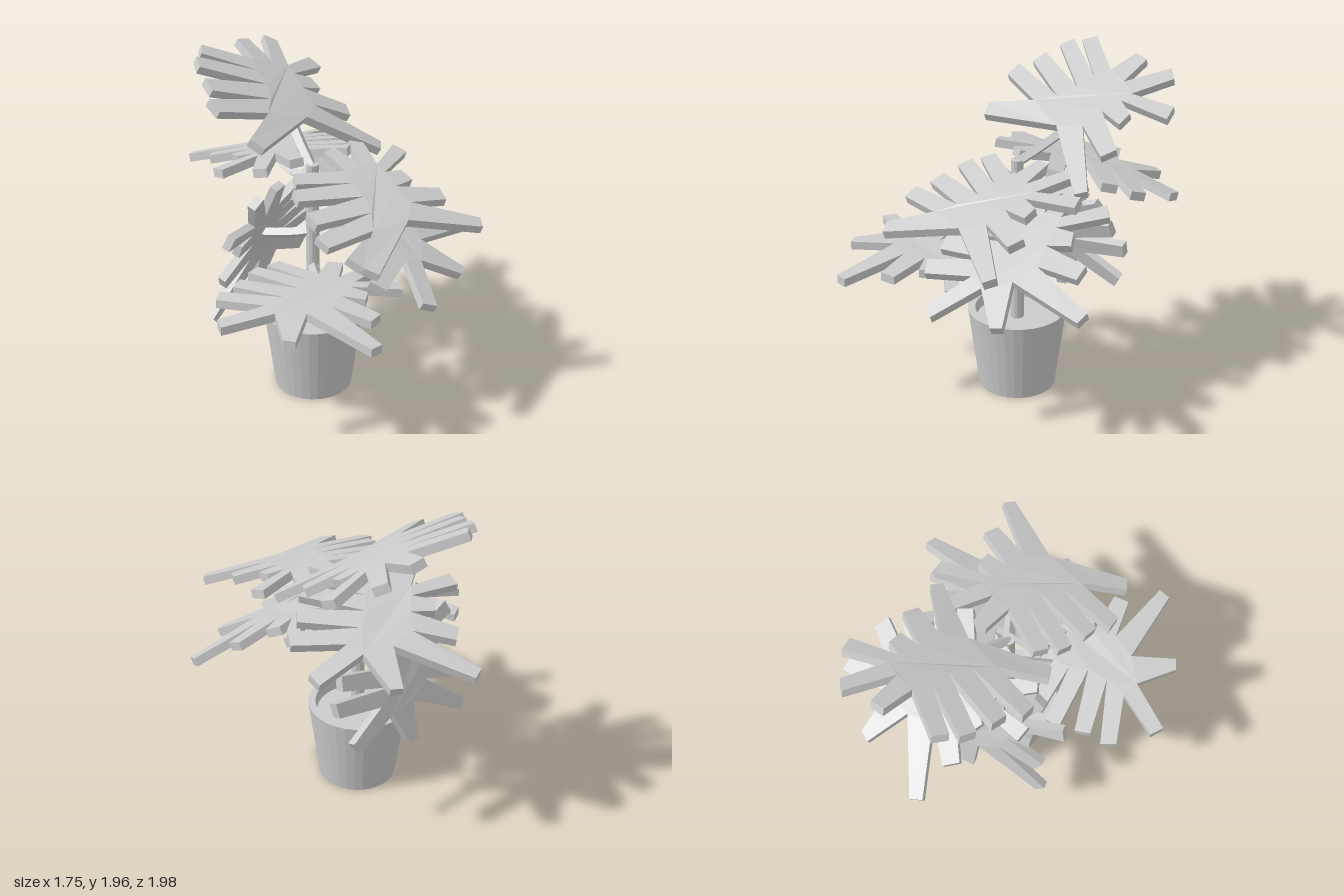
import * as THREE from 'three';

const mat = new THREE.MeshStandardMaterial({ color: 0xcccccc, flatShading: true, side: THREE.DoubleSide });
const STEM_X = -0.07, STEM_Z = -0.055;

function add(parent, name, geometry) {
  const mesh = new THREE.Mesh(geometry, mat);
  mesh.name = name;
  parent.add(mesh);
  return mesh;
}

// Lobes around the blade: [tip u, tip v, half width of blunt end, following notch u, notch v]
const LONG_LOBE = [0.5, 0.29, 0.036, 0.05, 0.22];
const END_LOBE = [0.09, 0.48, 0.034, -0.1, 0.3];
const SIDE_LOBES = [
  [-0.33, 0.49, 0.042, -0.19, 0.25], [-0.49, 0.25, 0.046, -0.13, 0.13],
  [-0.47, 0.09, 0.046, -0.11, 0.01], [-0.47, -0.09, 0.044, -0.12, -0.1],
  [-0.41, -0.21, 0.044, -0.11, -0.2], [-0.1, -0.39, 0.042, 0.01, -0.22],
  [0.11, -0.48, 0.04, 0.11, -0.22], [0.34, -0.34, 0.044, 0.12, -0.15],
  [0.24, -0.11, 0.044, 0.12, -0.03], [0.38, 0.06, 0.046, 0.14, 0.1],
];

// Thick deeply cut blade, lying flat and drooping gently away from its middle
function bladeGeometry(lobes) {
  const points = [];
  for (const [u, v, w, notchU, notchV] of lobes) {
    const tip = new THREE.Vector2(u, v);
    const side = new THREE.Vector2(-v * 0.7, u).setLength(w);
    points.push(tip.clone().sub(side), tip.clone().add(side), new THREE.Vector2(notchU, notchV));
  }
  const g = new THREE.ExtrudeGeometry(new THREE.Shape(points), { depth: 0.05, bevelEnabled: false });
  g.rotateX(Math.PI / 2);
  const p = g.attributes.position;
  for (let i = 0; i < p.count; i++) {
    const r2 = p.getX(i) ** 2 + p.getZ(i) ** 2;
    p.setY(i, p.getY(i) + 0.045 - 0.12 * r2);
  }
  g.computeVertexNormals();
  return g;
}

// Level leaf axes turned by an angle, then sheared to a slope along x and z
function slopedAxes(degrees, slopeX, slopeZ) {
  const a = THREE.MathUtils.degToRad(degrees), c = Math.cos(a), s = Math.sin(a);
  return [
    new THREE.Vector3(c, slopeX * c + slopeZ * s, s),
    new THREE.Vector3(-s, -slopeX * s + slopeZ * c, c),
  ];
}

export function createModel() {
  const plant = new THREE.Group();
  plant.name = 'pottedPlant';

  // Tapered pot with a hollow rim
  const profile = [[0, 0], [0.23, 0], [0.293, 0.5], [0.25, 0.5], [0.24, 0.43]]
    .map(([x, y]) => new THREE.Vector2(x, y));
  add(plant, 'pot', new THREE.LatheGeometry(profile, 32)).position.set(STEM_X, 0, STEM_Z);

  const soil = add(plant, 'soil', new THREE.CircleGeometry(0.242, 32).rotateX(-Math.PI / 2));
  soil.position.set(STEM_X, 0.435, STEM_Z);

  // Upright stem
  const stem = add(plant, 'stem', new THREE.CylinderGeometry(0.036, 0.04, 1.02, 12));
  stem.position.set(STEM_X, 0.93, STEM_Z);

  const fullBlade = bladeGeometry([LONG_LOBE, END_LOBE, ...SIDE_LOBES]);
  const openBlade = bladeGeometry([LONG_LOBE, ...SIDE_LOBES]);

  // Leaves: centre, blade axes, height where the stalk leaves the stem
  const leaves = [
    { name: 'topLeaf', blade: openBlade, at: [-0.03, 1.7, -0.5], axes: slopedAxes(6, -0.34, -0.42), from: 1.42 },
    { name: 'upperBackLeaf', blade: fullBlade, at: [-0.08, 1.34, -0.49], axes: slopedAxes(204, 0, 0.27), from: 1.33 },
    { name: 'upperFrontLeaf', blade: openBlade, at: [0.18, 1.3, 0.25], axes: slopedAxes(0, -0.1, -0.33), from: 1.36 },
    { name: 'lowerFrontLeaf', blade: fullBlade, at: [0.29, 1.06, 0.1], axes: slopedAxes(-31, -0.28, -0.42), from: 1.12 },
    { name: 'sideFrontLeaf', blade: fullBlade, at: [-0.28, 0.86, 0.4], axes: slopedAxes(57, -0.03, 0.02), from: 0.8 },
    {
      name: 'lowerBackLeaf', blade: fullBlade, at: [-0.24, 0.91, -0.335], from: 1.02,
      axes: [new THREE.Vector3(-0.9, -0.36, 0.36), new THREE.Vector3(0.15, -0.82, -0.4)],
    },
  ];

  for (const { name, blade, at, axes: [u, v], from } of leaves) {
    const leaf = new THREE.Group();
    leaf.name = name;
    plant.add(leaf);

    const centre = new THREE.Vector3(...at);
    const normal = new THREE.Vector3().crossVectors(v, u).normalize();
    const frame = new THREE.Matrix4().makeBasis(u, normal, v).setPosition(centre);
    add(leaf, 'blade', blade.clone().applyMatrix4(frame));

    // Square stalk curving from the stem to the blade's underside
    const end = new THREE.Vector3(0.02, -0.01, -0.05).applyMatrix4(frame);
    const start = new THREE.Vector3(STEM_X, from, STEM_Z);
    const middle = start.clone().lerp(end, 0.5).addScaledVector(normal, -0.03);
    const path = new THREE.QuadraticBezierCurve3(start, middle, end);
    add(leaf, 'stalk', new THREE.TubeGeometry(path, 4, 0.032, 4));
  }
  return plant;
}
